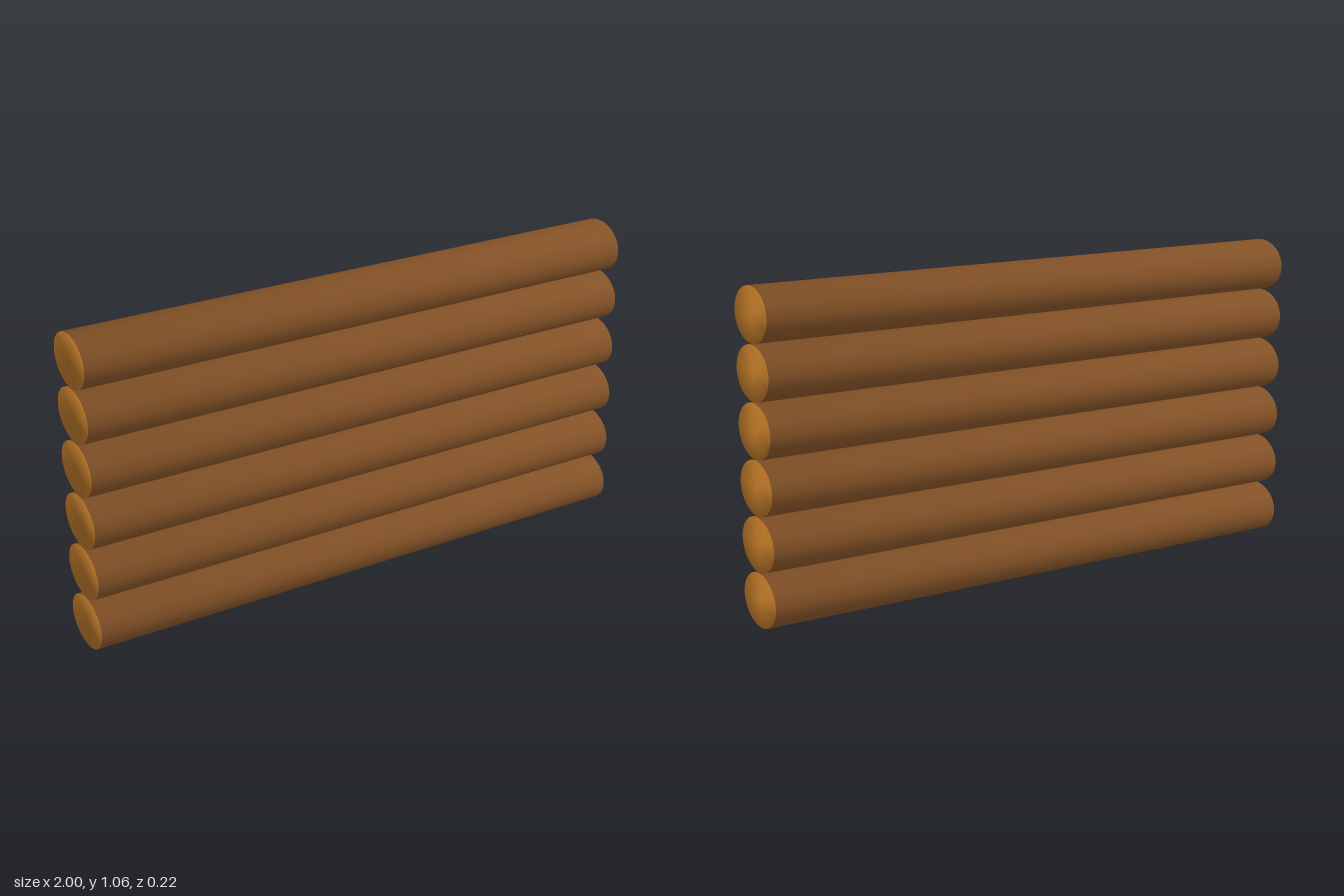
import * as THREE from 'three';

const COUNT = 6, RY = 0.0872, RZ = 0.108, SPACING = 0.1774;

// Oval log along x; rim normals are shared by side and cut end for soft edges
function logGeometry() {
  const geo = new THREE.CylinderGeometry(1, 1, 2, 64, 1);
  geo.rotateZ(-Math.PI / 2);
  geo.scale(1, RY, RZ);
  const pos = geo.attributes.position, nor = geo.attributes.normal;
  const n = new THREE.Vector3();
  for (let i = 0; i < pos.count; i++) {
    n.set(0, pos.getY(i) / (RY * RY), pos.getZ(i) / (RZ * RZ)).normalize();
    n.x = Math.sign(pos.getX(i));
    n.normalize();
    nor.setXYZ(i, n.x, n.y, n.z);
  }
  return geo;
}

export function createModel() {
  const bark = new THREE.MeshStandardMaterial({ name: 'bark', color: 0x8a5629 });
  const cutWood = new THREE.MeshStandardMaterial({ name: 'cutWood', color: 0xc27b29 });

  const wall = new THREE.Group();
  wall.name = 'logWall';
  const geo = logGeometry();

  // Stack of logs: side, then the two cut ends
  for (let i = 0; i < COUNT; i++) {
    const log = new THREE.Mesh(geo, [bark, cutWood, cutWood]);
    log.name = `log${i + 1}`;
    log.position.y = RY + i * SPACING;
    wall.add(log);
  }
  return wall;
}
